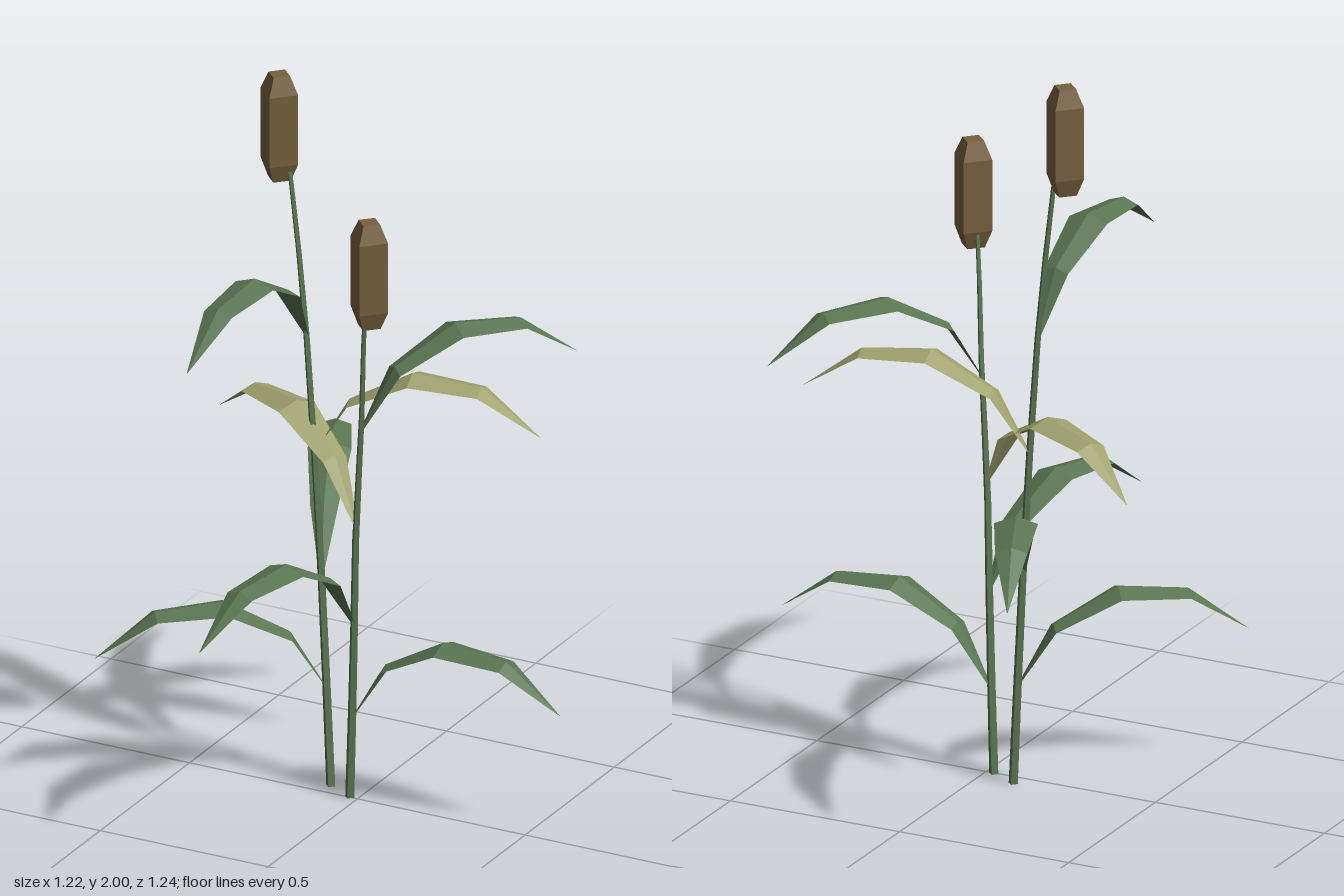
import * as THREE from 'three';

const V = (x, y, z) => new THREE.Vector3(x, y, z);
const flat = { flatShading: true, side: THREE.DoubleSide };

// Tapered four-sided stalk bent along a curve
function makeStalk(points, material) {
  const curve = new THREE.CatmullRomCurve3(points);
  const geo = new THREE.CylinderGeometry(0.005, 0.0135, 1, 4, 8).translate(0, 0.5, 0);
  const pos = geo.attributes.position;
  for (let i = 0; i < pos.count; i++) {
    const c = curve.getPoint(pos.getY(i));
    pos.setXYZ(i, pos.getX(i) + c.x, c.y, pos.getZ(i) + c.z);
  }
  geo.computeVertexNormals();
  return new THREE.Mesh(geo, material);
}

// Seed head: diamond-section cylinder with chamfered ends
function makeSeedHead(x, y, z, material) {
  const group = new THREE.Group();
  const body = new THREE.Mesh(new THREE.CylinderGeometry(0.056, 0.056, 0.2, 4, 1, true), material);
  const top = new THREE.Mesh(new THREE.CylinderGeometry(0.032, 0.056, 0.05, 4), material);
  const bottom = new THREE.Mesh(new THREE.CylinderGeometry(0.056, 0.034, 0.05, 4), material);
  body.name = 'seedHeadBody';
  top.name = 'seedHeadTop';
  bottom.name = 'seedHeadBottom';
  top.position.y = 0.125;
  bottom.position.y = -0.125;
  group.add(body, top, bottom);
  group.position.set(x, y, z);
  return group;
}

// Arching leaf, folded along a raised midrib: [reach fraction, rise, half width]
const LEAF_ROWS = [
  [0, 0, 0.006],
  [0.155, 0.165, 0.037],
  [0.435, 0.262, 0.058],
  [0.74, 0.245, 0.043],
  [1, 0.122, 0.001],
];

function makeLeaf(base, tipX, tipZ, material) {
  const reach = V(tipX - base.x, 0, tipZ - base.z);
  const side = V(0, 1, 0).cross(reach).normalize();
  const verts = [];
  const index = [];
  LEAF_ROWS.forEach(([t, rise, half], row) => {
    const mid = base.clone().addScaledVector(reach, t);
    mid.y += rise;
    for (const s of [1, 0, -1]) {
      const p = mid.clone().addScaledVector(side, s * half);
      p.y -= Math.abs(s) * half * 0.35;
      verts.push(p.x, p.y, p.z);
    }
    if (row === 0) return;
    for (const k of [0, 1]) {
      const a = (row - 1) * 3 + k;
      index.push(a, a + 1, a + 4, a, a + 4, a + 3);
    }
  });
  const geo = new THREE.BufferGeometry();
  geo.setAttribute('position', new THREE.Float32BufferAttribute(verts, 3));
  geo.setIndex(index);
  geo.computeVertexNormals();
  return new THREE.Mesh(geo, material);
}

export function createModel() {
  const green = new THREE.MeshStandardMaterial({ color: 0x5a7652, ...flat });
  green.name = 'reedGreen';
  const straw = new THREE.MeshStandardMaterial({ color: 0xa0a26f, ...flat });
  straw.name = 'dryLeafYellow';
  const brown = new THREE.MeshStandardMaterial({ color: 0x77603f, flatShading: true });
  brown.name = 'seedHeadBrown';

  const plant = new THREE.Group();
  plant.name = 'reedPlant';
  const add = (name, object) => {
    object.name = name;
    plant.add(object);
  };

  // Stalks
  add('tallStalk', makeStalk([
    V(-0.103, 0, -0.045), V(-0.135, 0.6, -0.052), V(-0.183, 1.27, -0.06),
    V(-0.233, 1.7, -0.068), V(-0.258, 1.85, -0.072),
  ], green));
  add('shortStalk', makeStalk([
    V(-0.024, 0, -0.003), V(-0.004, 0.4, 0.014), V(0.015, 0.8, 0.035),
    V(0.04, 1.09, 0.053), V(0.068, 1.42, 0.088), V(0.088, 1.57, 0.108),
  ], green));

  // Seed heads
  add('tallSeedHead', makeSeedHead(-0.272, 1.85, -0.075, brown));
  add('shortSeedHead', makeSeedHead(0.098, 1.575, 0.117, brown));

  // Leaves: base on the stalk, tip x and z
  const leaves = [
    ['tallStalkLeaf', V(-0.118, 0.28, -0.048), -0.612, 0.32, green],
    ['tallStalkLeaf', V(-0.135, 0.6, -0.052), -0.38, -0.62, green],
    ['tallStalkDryLeaf', V(-0.157, 0.945, -0.057), 0.455, -0.17, straw],
    ['tallStalkLeaf', V(-0.183, 1.275, -0.06), -0.212, 0.555, green],
    ['shortStalkLeaf', V(-0.008, 0.242, 0.006), 0.603, 0, green],
    ['shortStalkLeaf', V(0.001, 0.51, 0.02), -0.142, 0.617, green],
    ['shortStalkDryLeaf', V(0.015, 0.805, 0.035), -0.54, -0.243, straw],
    ['shortStalkLeaf', V(0.04, 1.09, 0.053), 0.428, -0.427, green],
  ];
  leaves.forEach(([name, base, x, z, material], i) => {
    add(name + (i + 1), makeLeaf(base, x, z, material));
  });

  return plant;
}
